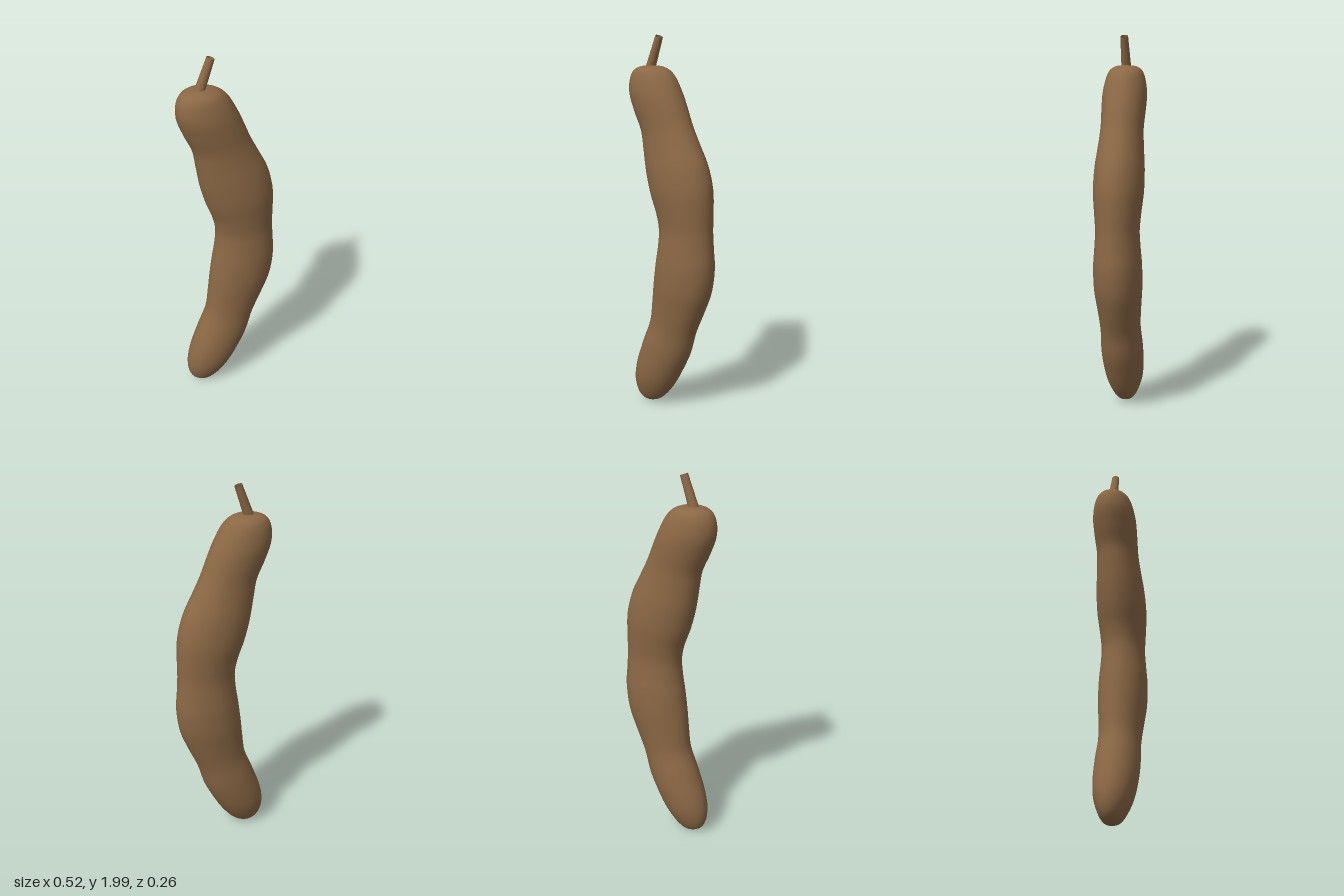
import * as THREE from 'three';
import { mergeVertices } from 'three/addons/utils/BufferGeometryUtils.js';

const podBrown = new THREE.MeshStandardMaterial({ color: 0x8b6845, side: THREE.DoubleSide });
podBrown.name = 'podBrown';

// Cross-sections from tip to stem: inner edge x, y, outer edge x, y, half depth
const sections = [
  [-0.153, 0.01, -0.153, 0.01, 0],
  [-0.185, 0.018, -0.116, 0.016, 0.03],
  [-0.217, 0.037, -0.079, 0.034, 0.05],
  [-0.238, 0.08, -0.032, 0.08, 0.073],
  [-0.243, 0.143, 0.016, 0.148, 0.095],
  [-0.228, 0.228, 0.063, 0.233, 0.107],
  [-0.175, 0.375, 0.106, 0.323, 0.111],
  [-0.127, 0.497, 0.143, 0.444, 0.106],
  [-0.111, 0.614, 0.196, 0.566, 0.114],
  [-0.1, 0.709, 0.242, 0.688, 0.124],
  [-0.084, 0.825, 0.26, 0.825, 0.125],
  [-0.069, 0.92, 0.254, 0.92, 0.118],
  [-0.064, 1.005, 0.249, 1.016, 0.113],
  [-0.079, 1.085, 0.249, 1.132, 0.12],
  [-0.116, 1.185, 0.243, 1.238, 0.129],
  [-0.148, 1.302, 0.212, 1.354, 0.127],
  [-0.169, 1.423, 0.159, 1.46, 0.116],
  [-0.185, 1.513, 0.116, 1.545, 0.11],
  [-0.228, 1.608, 0.074, 1.645, 0.114],
  [-0.262, 1.704, 0.042, 1.714, 0.114],
  [-0.26, 1.778, 0, 1.788, 0.1],
  [-0.238, 1.82, -0.032, 1.82, 0.083],
  [-0.201, 1.839, -0.074, 1.839, 0.055],
  [-0.138, 1.847, -0.138, 1.847, 0],
];

// Elliptical rings swept between the two smoothed edge curves
function podGeometry(rings = 115, sides = 40) {
  const inner = new THREE.CatmullRomCurve3(sections.map(s => new THREE.Vector3(s[0], s[1], s[4])));
  const outer = new THREE.CatmullRomCurve3(sections.map(s => new THREE.Vector3(s[2], s[3], 0)));
  const positions = [], index = [];
  for (let i = 0; i <= rings; i++) {
    const a = inner.getPoint(i / rings), b = outer.getPoint(i / rings);
    for (let j = 0; j < sides; j++) {
      const angle = (j / sides) * Math.PI * 2;
      const k = (1 + Math.cos(angle)) / 2;
      positions.push(a.x + (b.x - a.x) * k, a.y + (b.y - a.y) * k, a.z * Math.sin(angle));
      if (i === rings) continue;
      const p = i * sides + j, q = i * sides + (j + 1) % sides;
      if (i < rings - 1) index.push(p, p + sides, q + sides);
      if (i > 0) index.push(p, q + sides, q);
    }
  }
  let geometry = new THREE.BufferGeometry();
  geometry.setAttribute('position', new THREE.Float32BufferAttribute(positions, 3));
  geometry.setIndex(index);
  geometry = mergeVertices(geometry, 1e-5);
  geometry.computeVertexNormals();
  return geometry;
}

export function createModel() {
  const model = new THREE.Group();
  model.name = 'seedPod';

  const pod = new THREE.Mesh(podGeometry(), podBrown);
  pod.name = 'pod';
  model.add(pod);

  // Short tapered stem, hollow at the cut end, leaning toward +x
  const base = new THREE.Vector3(-0.15, 1.82, 0), tip = new THREE.Vector3(-0.086, 1.992, 0);
  const axis = tip.clone().sub(base);
  const stem = new THREE.Mesh(new THREE.CylinderGeometry(0.02, 0.026, axis.length(), 24, 1, true), podBrown);
  stem.name = 'stem';
  stem.position.copy(base).add(tip).multiplyScalar(0.5);
  stem.quaternion.setFromUnitVectors(new THREE.Vector3(0, 1, 0), axis.normalize());
  model.add(stem);

  return model;
}
